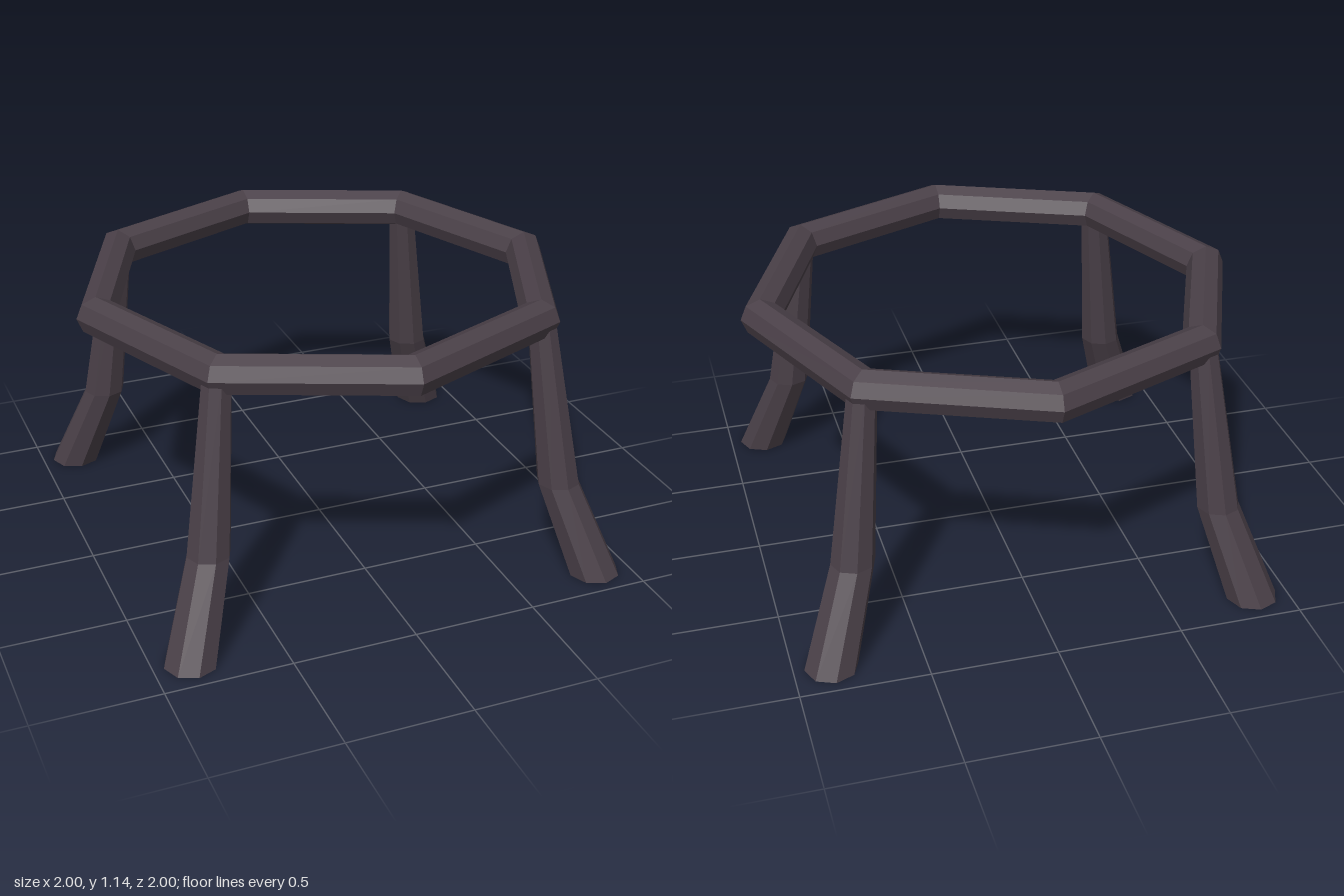
import * as THREE from 'three';

// Leg stations, bottom to top: height, x = z centre offset, radius
const STATIONS = [
  [0, 0.854, 0.104],
  [0.38, 0.732, 0.086],
  [1.065, 0.655, 0.057],
];

// Eight-sided bent leg with level cross-sections, splayed along the diagonal
function legGeometry() {
  const geo = new THREE.CylinderGeometry(1, 1, 2, 8, 2);
  const pos = geo.attributes.position;
  for (let i = 0; i < pos.count; i++) {
    const [y, offset, radius] = STATIONS[Math.round(pos.getY(i)) + 1];
    pos.setXYZ(i, offset + pos.getX(i) * radius, y, offset + pos.getZ(i) * radius);
  }
  geo.computeVertexNormals();
  return geo;
}

export function createModel() {
  const model = new THREE.Group();
  model.name = 'ringStand';

  const darkIron = new THREE.MeshStandardMaterial({ color: 0x4a4048 });
  darkIron.name = 'darkIron';
  darkIron.flatShading = true;

  // Octagonal top ring with corners on the x and z axes
  const ring = new THREE.Mesh(new THREE.TorusGeometry(0.92, 0.08, 8, 8), darkIron);
  ring.name = 'topRing';
  ring.rotation.x = Math.PI / 2;
  ring.position.y = 1.065;
  model.add(ring);

  // Four legs under the diagonal corners
  const geo = legGeometry();
  ['frontLeftLeg', 'backLeftLeg', 'backRightLeg', 'frontRightLeg'].forEach((name, i) => {
    const leg = new THREE.Mesh(geo, darkIron);
    leg.name = name;
    leg.rotation.y = i * Math.PI / 2;
    model.add(leg);
  });

  return model;
}
